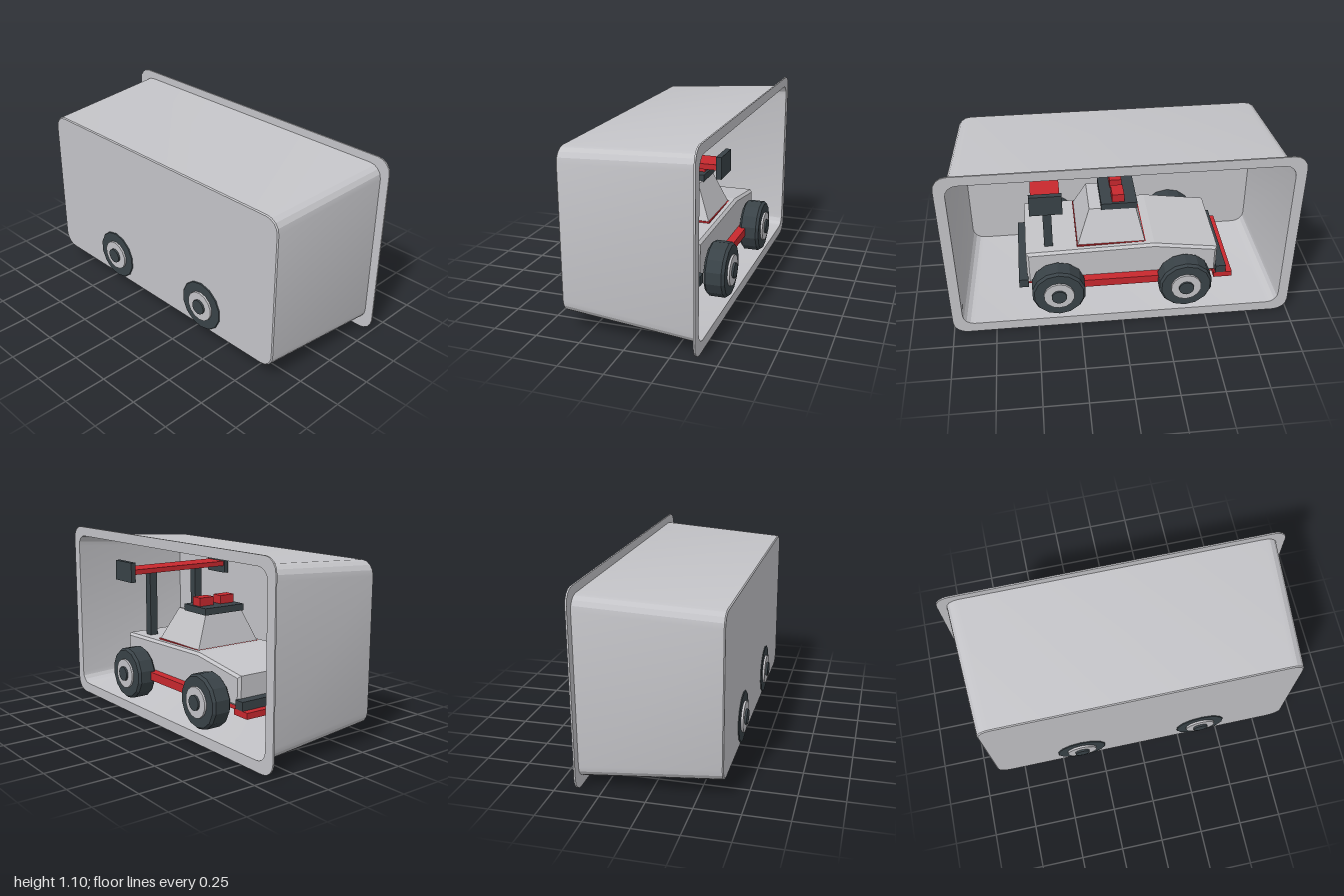
import * as THREE from 'three';
import { toCreasedNormals } from 'three/addons/utils/BufferGeometryUtils.js';

const material = (name, color) => {
  const m = new THREE.MeshStandardMaterial({ color });
  m.name = name;
  return m;
};

// Loft of rounded rectangles; each station is [z, halfWidth, bottom, top, cornerRadius]
function loftRoundedRects(stations, steps = 4) {
  const rings = stations.map(([z, hx, lo, hi, r]) => {
    const ring = [];
    for (let q = 0; q < 4; q++) {
      const cx = (q === 0 || q === 3 ? 1 : -1) * (hx - r);
      const cy = q < 2 ? hi - r : lo + r;
      for (let k = 0; k <= steps; k++) {
        const a = (q + k / steps) * Math.PI / 2;
        ring.push([cx + r * Math.cos(a), cy + r * Math.sin(a), z]);
      }
    }
    return ring;
  });
  const pos = [];
  for (let s = 0; s + 1 < rings.length; s++) {
    const A = rings[s], B = rings[s + 1], n = A.length;
    for (let j = 0; j < n; j++) {
      const k = (j + 1) % n;
      pos.push(...A[j], ...B[j], ...B[k], ...A[j], ...B[k], ...A[k]);
    }
  }
  const g = new THREE.BufferGeometry();
  g.setAttribute('position', new THREE.Float32BufferAttribute(pos, 3));
  return toCreasedNormals(g, 0.2);
}

export function createModel() {
  const model = new THREE.Group();
  model.name = 'packagedToyCar';
  const grey = material('lightGrey', 0xc4c4c8);
  const dark = material('charcoal', 0x394247);
  const red = material('red', 0xc8282e);

  const add = (parent, name, geometry, mat, x = 0, y = 0, z = 0) => {
    const mesh = new THREE.Mesh(geometry, mat);
    mesh.name = name;
    mesh.position.set(x, y, z);
    parent.add(mesh);
    return mesh;
  };
  // Box given by its extents along each axis
  const slab = (parent, name, mat, [x0, x1], [y0, y1], [z0, z1]) =>
    add(parent, name, new THREE.BoxGeometry(x1 - x0, y1 - y0, z1 - z0), mat,
      (x0 + x1) / 2, (y0 + y1) / 2, (z0 + z1) / 2);

  // Tapered tray, open at the back, with a flat flange around the opening
  add(model, 'tray', loftRoundedRects([
    [0.386, 0, 0.555, 0.555, 0],
    [0.386, 0.9, 0.105, 1.005, 0.075],
    [0.38, 0.906, 0.098, 1.011, 0.08],
    [-0.375, 0.95, 0.053, 1.053, 0.075],
    [-0.375, 1, 0, 1.1, 0.08],
    [-0.384, 1, 0, 1.1, 0.08],
    [-0.384, 0.94, 0.062, 1.043, 0.066],
    [0.376, 0.896, 0.108, 1.001, 0.07],
    [0.376, 0, 0.555, 0.555, 0],
  ]), grey);

  const car = new THREE.Group();
  car.name = 'car';
  model.add(car);

  // Body: bevelled side profile, nose toward -x
  const profile = new THREE.Shape([
    [0.55, 0.235], [0.55, 0.45], [-0.2, 0.465], [-0.575, 0.41], [-0.575, 0.235],
  ].map(([x, y]) => new THREE.Vector2(x, y)));
  const bevel = 0.015;
  const bodyGeo = new THREE.ExtrudeGeometry(profile, {
    depth: 0.52 - 2 * bevel, bevelThickness: bevel, bevelSize: bevel,
    bevelOffset: -bevel, bevelSegments: 1,
  });
  bodyGeo.translate(0, 0, -0.26 + bevel);
  add(car, 'body', bodyGeo, grey);

  // Cabin: a box with its upper corners drawn in
  const cabinGeo = new THREE.BoxGeometry(0.4, 0.2, 0.44).toNonIndexed();
  const p = cabinGeo.attributes.position;
  for (let i = 0; i < p.count; i++) {
    if (p.getY(i) > 0) {
      p.setX(i, p.getX(i) > 0 ? 0.12 : -0.15);
      p.setZ(i, Math.sign(p.getZ(i)) * 0.13);
    }
  }
  cabinGeo.computeVertexNormals();
  add(car, 'cabin', cabinGeo, grey, 0.05, 0.555, 0);
  slab(car, 'cabinBase', red, [-0.152, 0.252], [0.45, 0.465], [-0.222, 0.222]);
  slab(car, 'roof', dark, [-0.11, 0.1], [0.65, 0.69], [-0.14, 0.14]);

  // Chassis and bumpers
  slab(car, 'chassis', red, [-0.57, 0.55], [0.2, 0.236], [-0.22, 0.22]);
  slab(car, 'frontSplitter', red, [-0.67, -0.56], [0.2, 0.235], [-0.28, 0.28]);
  slab(car, 'frontBumper', dark, [-0.63, -0.57], [0.235, 0.285], [-0.28, 0.28]);
  slab(car, 'rearBumper', dark, [0.545, 0.6], [0.225, 0.28], [-0.28, 0.28]);

  // Rear wing
  slab(car, 'wing', red, [0.34, 0.5], [0.85, 0.88], [-0.345, 0.345]);

  for (const s of [-1, 1]) {
    const side = s > 0 ? 'Near' : 'Far';
    const box = (name, mat, x, y, [a, b]) =>
      slab(car, name + side, mat, x, y, s > 0 ? [a, b] : [-b, -a]);
    box('roofLight', red, [-0.035, 0.035], [0.69, 0.74], [0.025, 0.125]);
    box('sideSkirt', red, [-0.37, 0.37], [0.22, 0.27], [0.2, 0.31]);
    box('wingPost', dark, [0.39, 0.44], [0.44, 0.852], [0.145, 0.195]);
    box('wingEndPlate', dark, [0.33, 0.51], [0.805, 0.925], [0.335, 0.365]);
  }

  // Wheels: lathed tyre with rim disc and hub cap
  const tyreGeo = new THREE.LatheGeometry([
    [0.001, 0.27], [0.14, 0.27], [0.157, 0.285], [0.157, 0.375], [0.145, 0.391], [0.001, 0.391],
  ].map(([r, h]) => new THREE.Vector2(r, h)), 14);
  const tyre = toCreasedNormals(tyreGeo, 0.3);
  const rim = new THREE.CylinderGeometry(0.089, 0.089, 0.02, 14);
  const hub = new THREE.CylinderGeometry(0.044, 0.044, 0.03, 14);
  for (const x of [-0.372, 0.372]) {
    const axle = add(car, 'axle', new THREE.CylinderGeometry(0.03, 0.03, 0.56, 10), dark, x, 0.243, 0);
    axle.rotation.x = Math.PI / 2;
    for (const s of [-1, 1]) {
      const wheel = new THREE.Group();
      wheel.name = (x < 0 ? 'front' : 'rear') + 'Wheel';
      wheel.position.set(x, 0.243, 0);
      wheel.rotation.x = s * Math.PI / 2;
      add(wheel, 'tyre', tyre, dark);
      add(wheel, 'rim', rim, grey, 0, 0.393, 0);
      add(wheel, 'hubCap', hub, dark, 0, 0.4, 0);
      car.add(wheel);
    }
  }
  return model;
}
